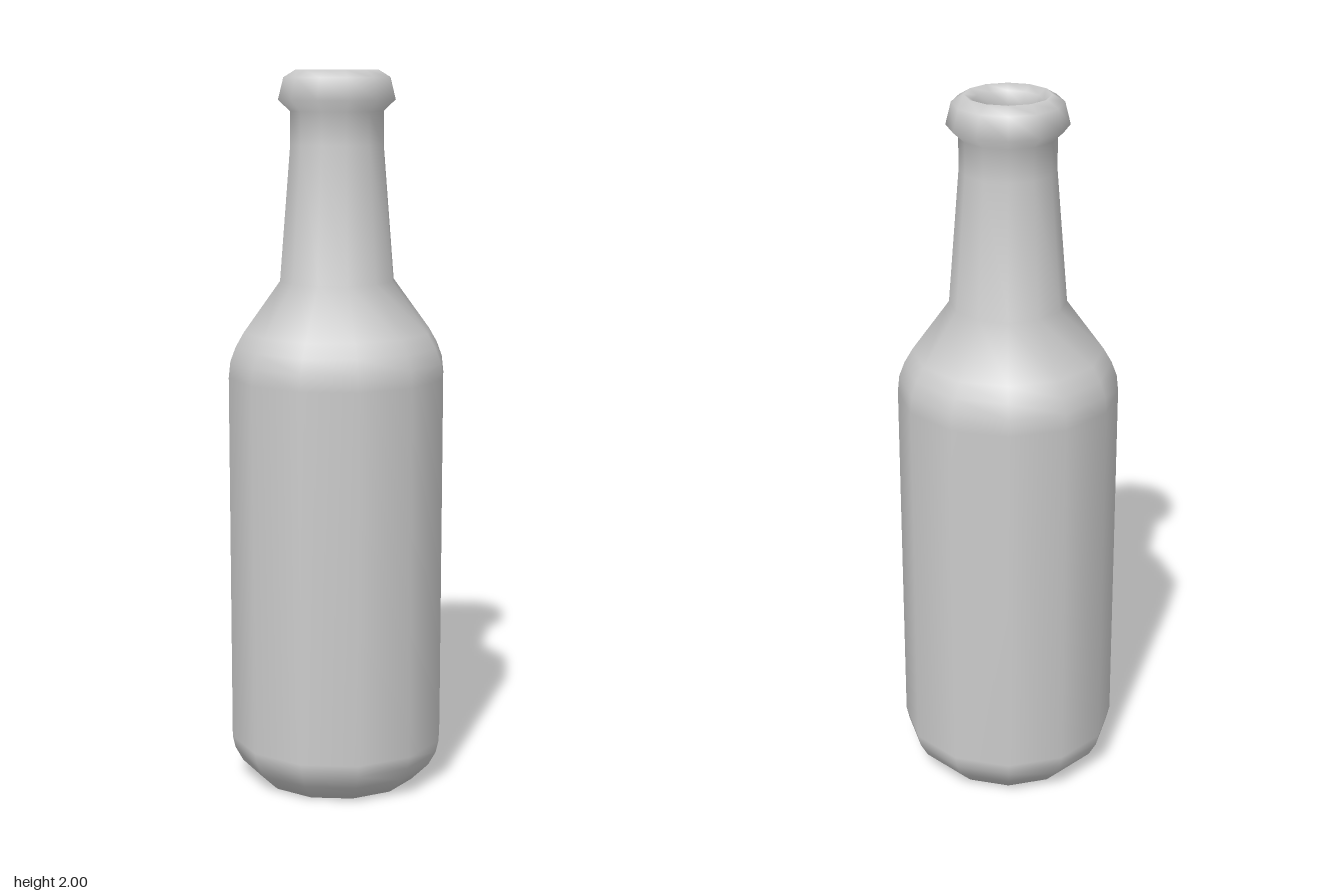
import * as THREE from 'three';

const SIDES = 12;

// Turns a [radius, height] profile into a smooth-shaded twelve-sided mesh
function lathe(name, profile) {
  const points = profile.map(([r, y]) => new THREE.Vector2(r, y));
  const material = new THREE.MeshStandardMaterial({ color: 0xcccccc });
  const mesh = new THREE.Mesh(new THREE.LatheGeometry(points, SIDES), material);
  mesh.name = name;
  return mesh;
}

export function createModel() {
  const bottle = new THREE.Group();
  bottle.name = 'bottle';

  // One continuous glass wall: up the outside, over the lip, down the inside
  bottle.add(lathe('glassBody', [
    // base and rounded heel
    [0, 0], [0.225, 0], [0.275, 0.05], [0.297, 0.09], [0.305, 0.125],
    // body and shoulder
    [0.305, 1.165], [0.3, 1.21], [0.285, 1.25], [0.262, 1.29],
    // neck
    [0.16, 1.43], [0.13, 1.8], [0.13, 1.89],
    // lip
    [0.163, 1.92], [0.148, 1.98], [0.115, 2], [0.092, 1.985], [0.08, 1.95],
    // inner neck, cavity and floor
    [0.095, 1.8], [0.125, 1.43], [0.23, 1.28], [0.27, 1.16],
    [0.27, 0.13], [0.2, 0.04], [0, 0.04],
  ]));

  return bottle;
}
